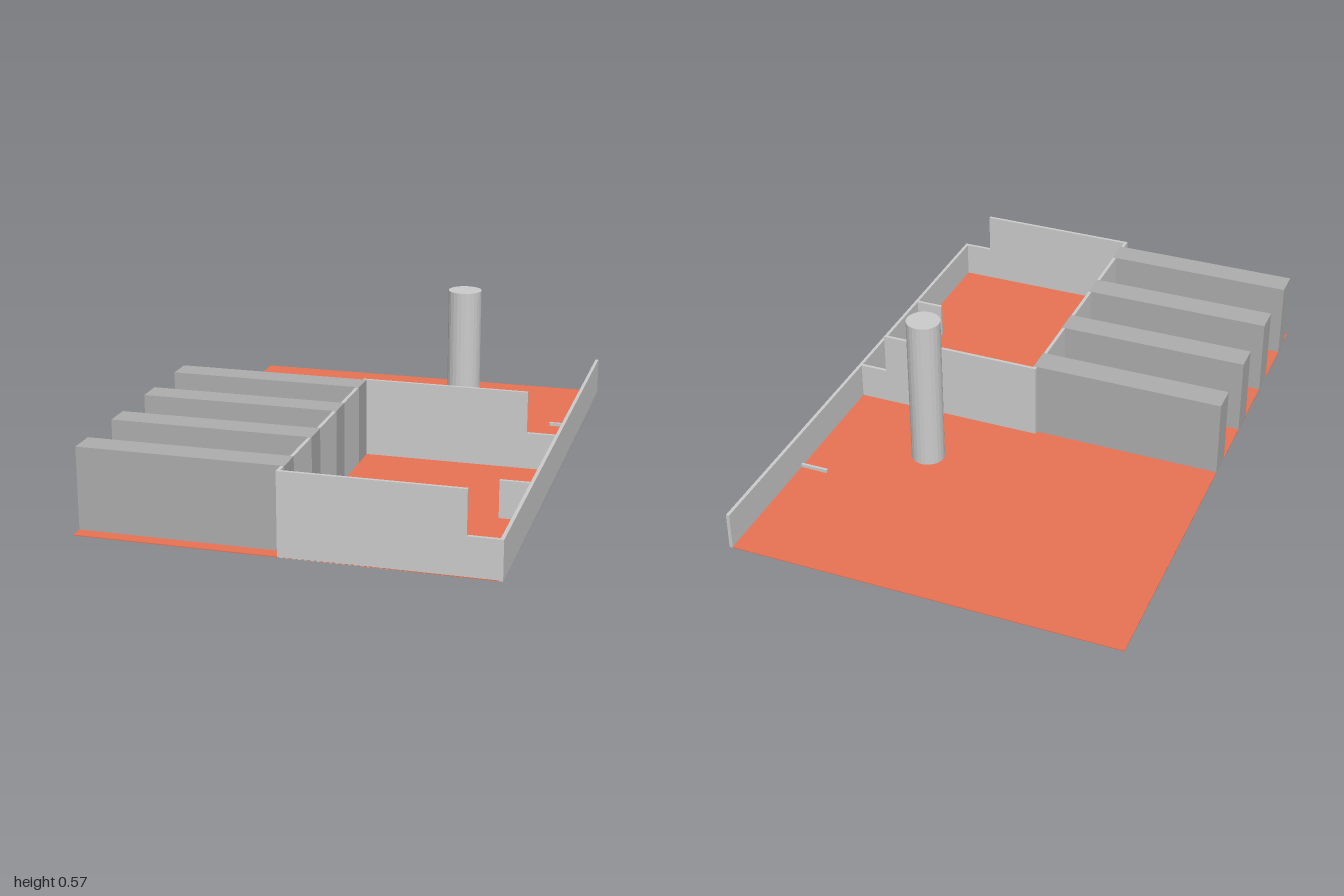
import * as THREE from 'three';

const grey = new THREE.MeshStandardMaterial({ color: 0xcccccc });
const darkGrey = new THREE.MeshStandardMaterial({ color: 0xadadad });
const terracotta = new THREE.MeshStandardMaterial({ color: 0xe87254 });

const WALL = 0.012;  // wall thickness
const LOW = 0.135;   // parapet height
const HIGH = 0.285;  // room height

// Box given by its minimum and maximum corners
function box(name, [x0, y0, z0], [x1, y1, z1], material = grey) {
  const mesh = new THREE.Mesh(new THREE.BoxGeometry(x1 - x0, y1 - y0, z1 - z0), material);
  mesh.position.set((x0 + x1) / 2, (y0 + y1) / 2, (z0 + z1) / 2);
  mesh.name = name;
  return mesh;
}

// Cross wall that steps down to parapet height near the outer wall
function steppedWall(name, z) {
  const shape = new THREE.Shape();
  shape.moveTo(-0.015, 0);
  shape.lineTo(0.69, 0);
  shape.lineTo(0.69, LOW);
  shape.lineTo(0.585, LOW);
  shape.lineTo(0.585, HIGH);
  shape.lineTo(-0.015, HIGH);
  const geometry = new THREE.ExtrudeGeometry(shape, { depth: WALL, bevelEnabled: false });
  const mesh = new THREE.Mesh(geometry, grey);
  mesh.position.z = z;
  mesh.name = name;
  return mesh;
}

export function createModel() {
  const model = new THREE.Group();
  model.name = 'floorPlan';

  // Floor slab and long outer parapet
  model.add(box('floor', [-0.7, 0, -1], [0.69, 0.003, 1], terracotta));
  model.add(box('outerWall', [0.686, 0, -1], [0.698, LOW, 1]));

  // Room walls
  model.add(steppedWall('middleWall', -0.015));
  model.add(steppedWall('frontWall', 0.988));
  model.add(box('dividingWall', [-0.015, 0, -0.015], [-0.003, HIGH, 1]));

  // Short stubs against the outer wall
  model.add(box('roomStub', [0.585, 0, 0.485], [0.69, LOW, 0.497]));
  model.add(box('rearStub', [0.585, 0, -0.513], [0.69, 0.015, -0.503]));

  // Row of solid blocks beside the room
  const blocks = new THREE.Group();
  blocks.name = 'blocks';
  for (let i = 0; i < 4; i++) {
    const z = i * 0.286;
    blocks.add(box('block', [-0.7, 0, z], [-0.002, HIGH + 0.001, z + 0.096], darkGrey));
  }
  model.add(blocks);

  // Free-standing column
  const column = new THREE.Mesh(
    new THREE.CylinderGeometry(0.06, 0.06, 0.57, 24),
    new THREE.MeshStandardMaterial({ color: 0xcccccc, flatShading: true })
  );
  column.position.set(0.295, 0.285, -0.28);
  column.name = 'column';
  model.add(column);

  return model;
}
